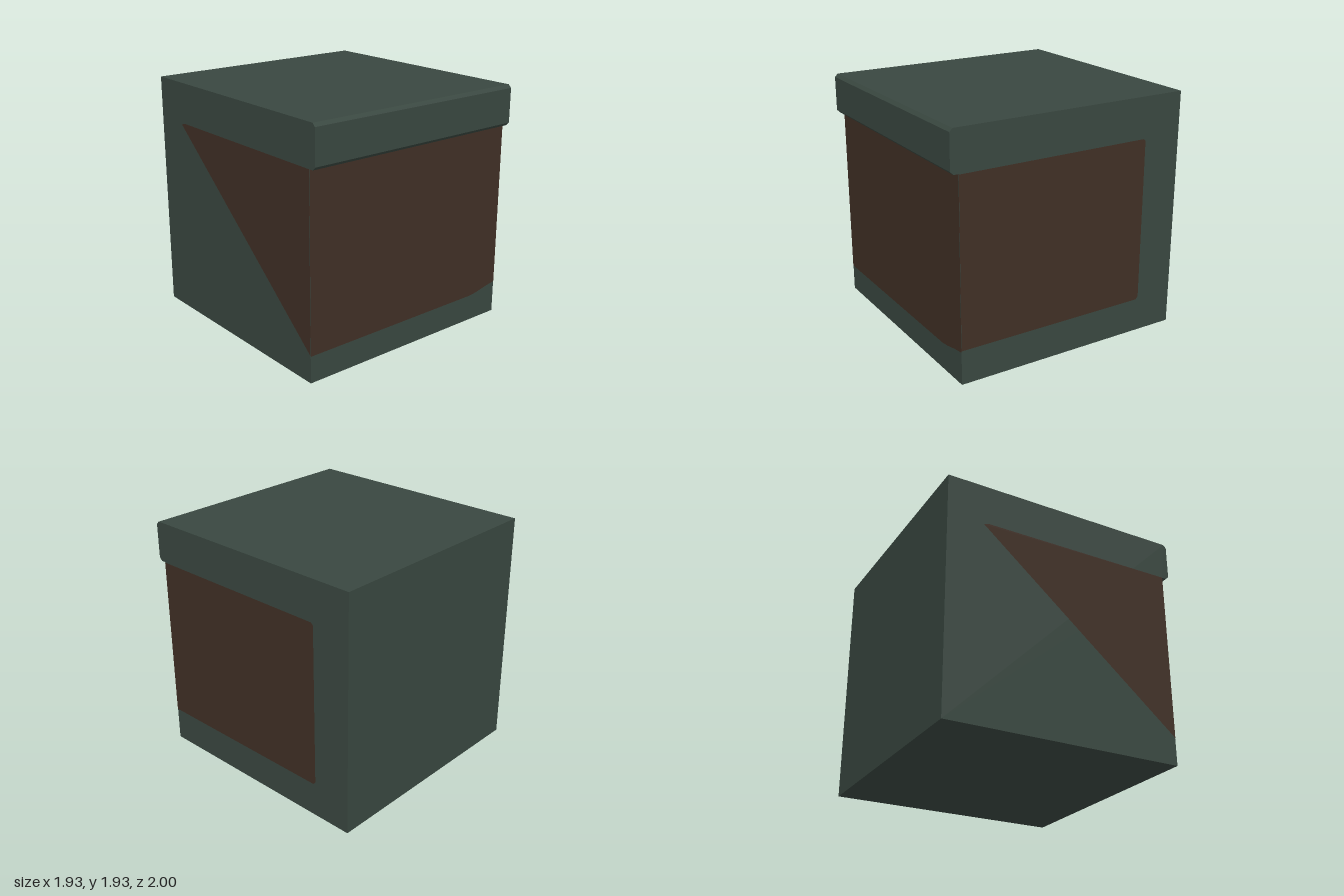
import * as THREE from 'three';

const W = 0.965, FRONT = 0.935, H = 1.935, BACK = -1, GAP = 0.002;

const shapeOf = (pts) => new THREE.Shape(pts.map(([a, b]) => new THREE.Vector2(a, b)));

export function createModel() {
  const green = new THREE.MeshStandardMaterial({ color: 0x394740 });
  green.name = 'darkGreen';
  const brown = new THREE.MeshStandardMaterial({ color: 0x402f25 });
  brown.name = 'darkBrown';

  const group = new THREE.Group();
  group.name = 'box';
  const add = (name, geometry, material) => {
    const mesh = new THREE.Mesh(geometry, material);
    mesh.name = name;
    group.add(mesh);
  };

  // Side profile (z, y) with the chamfered lip, swept across the width
  const profile = shapeOf([
    [BACK, 0], [FRONT, 0], [FRONT, 1.61], [0.975, 1.61],
    [1, 1.635], [1, 1.91], [0.975, H], [BACK, H],
  ]);
  const body = new THREE.ExtrudeGeometry(profile, { depth: 2 * W, bevelEnabled: false });
  body.rotateY(-Math.PI / 2).translate(W, 0, 0);
  add('bodyWithLip', body, green);

  // Front panel, its lower edge rising towards the model's left
  const front = new THREE.ShapeGeometry(shapeOf([
    [-W, 0.215], [0.68, 0.215], [0.76, 0.225], [0.87, 0.25], [W, 0.265], [W, 1.61], [-W, 1.61],
  ]));
  add('frontPanel', front.translate(0, 0, FRONT + GAP), brown);

  // Rectangular panel on the +x side, back corners slightly clipped (-z, y)
  const plusX = new THREE.ShapeGeometry(shapeOf([
    [-FRONT, 0.275], [0.66, 0.275], [0.68, 0.3], [0.675, 1.59], [0.655, 1.607], [-FRONT, 1.607],
  ]));
  add('leftSidePanel', plusX.rotateY(Math.PI / 2).translate(W + GAP, 0, 0), brown);

  // Triangular panel on the -x side (z, y)
  const minusX = new THREE.ShapeGeometry(shapeOf([
    [-0.7, 1.595], [FRONT, 0.22], [FRONT, 1.61], [-0.66, 1.61],
  ]));
  add('rightSidePanel', minusX.rotateY(-Math.PI / 2).translate(-W - GAP, 0, 0), brown);

  return group;
}
